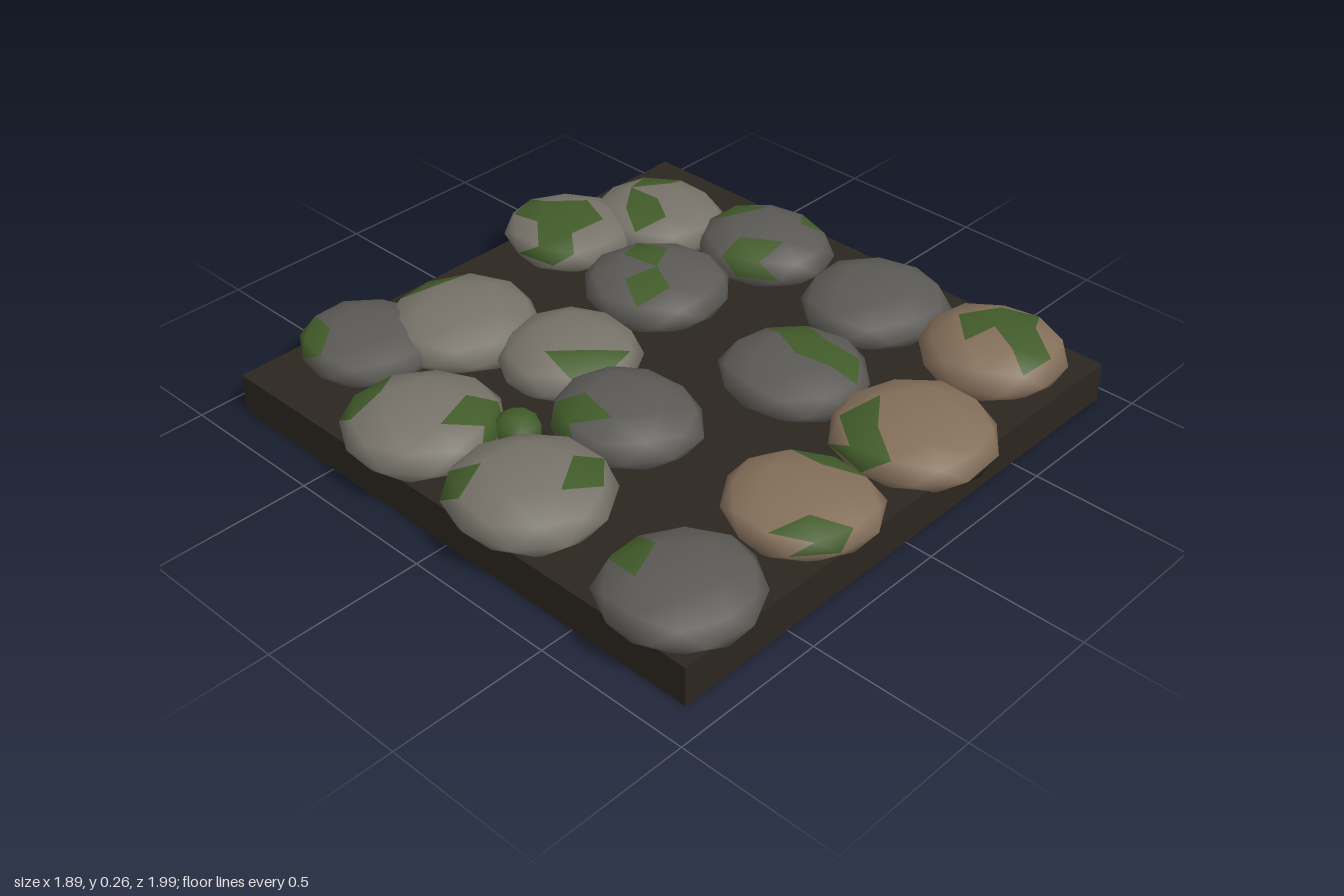
import * as THREE from 'three';
import { mergeVertices } from 'three/addons/utils/BufferGeometryUtils.js';

const mat = (color) => new THREE.MeshStandardMaterial({ color });

// Flattened, smooth-shaded low-poly cobble
function cobbleGeometry(x, z, rx, rz, top, yaw) {
  const mid = 0.165, up = top - mid, down = 0.08;
  let g = new THREE.IcosahedronGeometry(1, 1);
  g.rotateZ(-Math.atan(2 / (1 + Math.sqrt(5)))); // a vertex points straight up
  g.rotateY(yaw);
  g.deleteAttribute('uv');
  g.deleteAttribute('normal');
  g = mergeVertices(g, 1e-3);
  const p = g.attributes.position;
  for (let i = 0; i < p.count; i++) {
    const a = Math.atan2(p.getZ(i), p.getX(i));
    const wobble = 1 + 0.025 * Math.sin(3 * a + yaw * 7);
    const y = THREE.MathUtils.clamp(p.getY(i) * 1.13, -1, 1);
    p.setXYZ(i,
      x + p.getX(i) * rx * wobble,
      mid + y * (y > 0 ? up : down),
      z + p.getZ(i) * rz * wobble);
  }
  g.computeVertexNormals();
  return g.toNonIndexed();
}

// Sorts triangles into named sets using pick(centroid), keeping smooth normals
function splitFaces(g, pick) {
  const sets = {};
  const { position, normal } = g.attributes;
  const c = new THREE.Vector3(), v = new THREE.Vector3();
  for (let f = 0; f < position.count; f += 3) {
    c.set(0, 0, 0);
    for (let k = 0; k < 3; k++) c.addScaledVector(v.fromBufferAttribute(position, f + k), 1 / 3);
    const set = (sets[pick(c)] ??= { pos: [], nor: [] });
    set.pos.push(...position.array.slice(f * 3, f * 3 + 9));
    set.nor.push(...normal.array.slice(f * 3, f * 3 + 9));
  }
  return Object.entries(sets).map(([name, s]) => {
    const geo = new THREE.BufferGeometry();
    geo.setAttribute('position', new THREE.Float32BufferAttribute(s.pos, 3));
    geo.setAttribute('normal', new THREE.Float32BufferAttribute(s.nor, 3));
    return [name, geo];
  });
}

export function createModel() {
  const root = new THREE.Group();
  root.name = 'cobblestoneTile';
  const moss = mat(0x425c2a), soil = mat(0x2b261f);
  const tones = { dark: mat(0x5c5a56), light: mat(0x77736a), brown: mat(0x846f5a) };

  // Soil slab
  const slab = new THREE.Mesh(new THREE.BoxGeometry(1.835, 0.13, 1.83), soil);
  slab.name = 'soilSlab';
  slab.position.set(0.027, 0.065, -0.005);
  root.add(slab);

  // Cobbles: tone, x, z, half width, half depth, top height, moss spots, soil spot
  const cobbles = [
    ['dark', -0.54, -0.745, 0.215, 0.225, 0.225, [[-0.67, -0.84]]],
    ['light', -0.28, -0.61, 0.25, 0.245, 0.25, [[-0.25, -0.73], [-0.3, -0.8]]],
    ['light', 0.335, -0.775, 0.215, 0.225, 0.23, [[0.29, -0.9], [0.33, -0.78], [0.21, -0.71]]],
    ['light', 0.605, -0.63, 0.22, 0.235, 0.235, [[0.54, -0.63], [0.74, -0.72]]],
    ['dark', 0.29, -0.33, 0.235, 0.24, 0.24, [[0.23, -0.3], [0.36, -0.39]]],
    ['dark', 0.71, -0.245, 0.21, 0.235, 0.25, [[0.71, -0.42], [0.57, -0.19], [0.9, -0.18]]],
    ['light', -0.705, -0.3, 0.245, 0.24, 0.25, [[-0.64, -0.14], [-0.79, -0.5]]],
    ['light', -0.17, -0.25, 0.225, 0.22, 0.25, [[-0.21, -0.12]]],
    ['light', -0.71, 0.155, 0.245, 0.25, 0.255, [[-0.85, 0.02], [-0.61, 0.26]]],
    ['dark', -0.28, 0.1, 0.215, 0.24, 0.25, [[-0.43, 0.03]]],
    ['dark', 0.23, 0.3, 0.225, 0.235, 0.235, [[0.31, 0.26], [0.29, 0.4], [0.35, 0.16]]],
    ['dark', 0.69, 0.23, 0.24, 0.235, 0.24, [[0.9, 0.13]]],
    ['dark', -0.71, 0.725, 0.235, 0.23, 0.24, [[-0.71, 0.56]]],
    ['brown', -0.23, 0.72, 0.225, 0.235, 0.225, [[-0.07, 0.7], [-0.33, 0.86]], [-0.12, 0.91]],
    ['brown', 0.235, 0.745, 0.25, 0.25, 0.24, [[0.11, 0.66], [0.05, 0.7]], [0.31, 0.95]],
    ['brown', 0.72, 0.66, 0.225, 0.23, 0.26, [[0.73, 0.61], [0.73, 0.78], [0.8, 0.66]]],
  ];
  cobbles.forEach(([tone, x, z, rx, rz, top, spots, bare], i) => {
    const near = (c, [sx, sz], r) => Math.hypot(c.x - sx, c.z - sz) < r;
    const pick = (c) => {
      if (bare && c.y < 0.165 && near(c, bare, 0.08)) return 'soilPatch';
      return c.y > 0.16 && spots.some((s) => near(c, s, 0.072)) ? 'mossPatch' : 'stone';
    };
    const cobble = new THREE.Group();
    cobble.name = `cobble${i + 1}`;
    const materials = { stone: tones[tone], mossPatch: moss, soilPatch: soil };
    for (const [name, geo] of splitFaces(cobbleGeometry(x, z, rx, rz, top, i * 1.37), pick)) {
      const mesh = new THREE.Mesh(geo, materials[name]);
      mesh.name = name;
      cobble.add(mesh);
    }
    root.add(cobble);
  });

  // Small mossy pebble wedged between cobbles
  const pebble = new THREE.Mesh(cobbleGeometry(-0.53, -0.09, 0.07, 0.075, 0.215, 0.4), moss);
  pebble.name = 'mossyPebble';
  root.add(pebble);
  return root;
}
